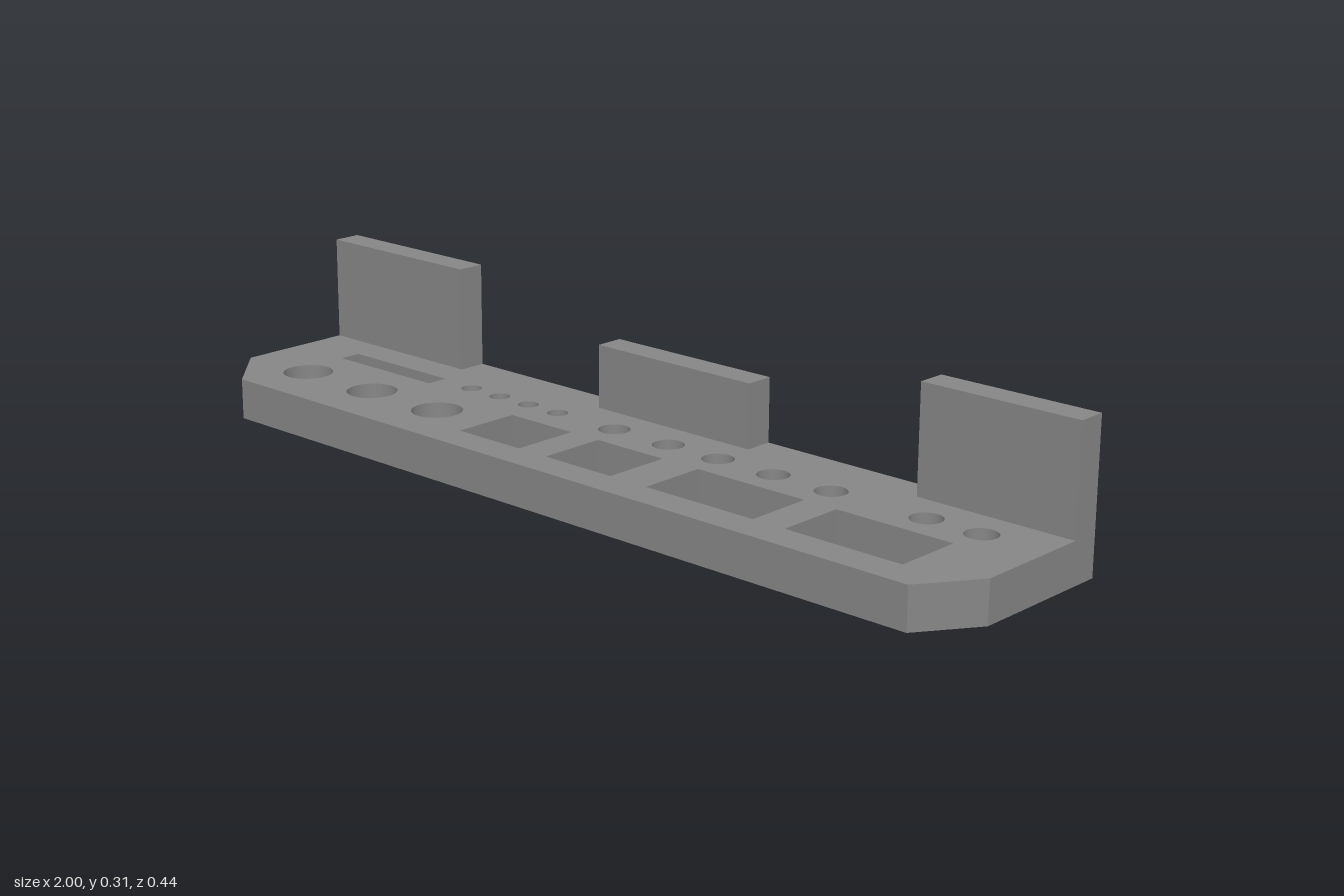
import * as THREE from 'three';

const PLATE = 0.088;   // plate thickness
const BACK = -0.221;   // rear edge z
const TAB_DEPTH = 0.062;

// Shapes are drawn in (x, -z) and laid flat after extrusion.
function rectHole(x0, x1, z0, z1) {
  return new THREE.Path([[x0, z0], [x0, z1], [x1, z1], [x1, z0]]
    .map(([x, z]) => new THREE.Vector2(x, -z)));
}

function roundHole(x, z, r) {
  return new THREE.Path().absarc(x, -z, r, 0, Math.PI * 2, true);
}

export function createModel() {
  const group = new THREE.Group();
  group.name = 'toolRack';
  const material = new THREE.MeshStandardMaterial({ color: 0x868686 });

  // Plate outline with chamfered front corners
  const outline = new THREE.Shape([
    [-1, 0.1], [-0.88, 0.221], [0.917, 0.221], [1, 0.1], [1, BACK], [-1, BACK],
  ].map(([x, z]) => new THREE.Vector2(x, -z)));

  // Front row: three large round holes and four rectangular ones
  for (const x of [-0.82, -0.611, -0.408]) outline.holes.push(roundHole(x, 0.085, 0.054));
  for (const [x0, x1] of [[-0.27, -0.1], [-0.025, 0.15], [0.243, 0.508], [0.584, 0.85]]) {
    outline.holes.push(rectHole(x0, x1, 0.001, 0.149));
  }

  // Rear row: slot, small holes, medium holes
  outline.holes.push(rectHole(-0.85, -0.565, -0.085, -0.037));
  for (let i = 0; i < 4; i++) outline.holes.push(roundHole(-0.471 + i * 0.086, -0.074, 0.022));
  for (const x of [-0.05, 0.098, 0.229, 0.37, 0.512, 0.735, 0.858]) {
    outline.holes.push(roundHole(x, -0.073, 0.033));
  }

  const plateGeometry = new THREE.ExtrudeGeometry(outline, {
    depth: PLATE, bevelEnabled: false, curveSegments: 32,
  });
  plateGeometry.rotateX(-Math.PI / 2);
  const plate = new THREE.Mesh(plateGeometry, material);
  plate.name = 'plate';
  group.add(plate);

  // Upright tabs along the rear edge
  for (const [name, x0, x1, top] of [
    ['rightTab', -1, -0.591, 0.313],
    ['middleTab', -0.176, 0.233, 0.224],
    ['leftTab', 0.648, 1, 0.313],
  ]) {
    const tab = new THREE.Mesh(new THREE.BoxGeometry(x1 - x0, top - PLATE, TAB_DEPTH), material);
    tab.position.set((x0 + x1) / 2, (top + PLATE) / 2, BACK + TAB_DEPTH / 2);
    tab.name = name;
    group.add(tab);
  }

  return group;
}
